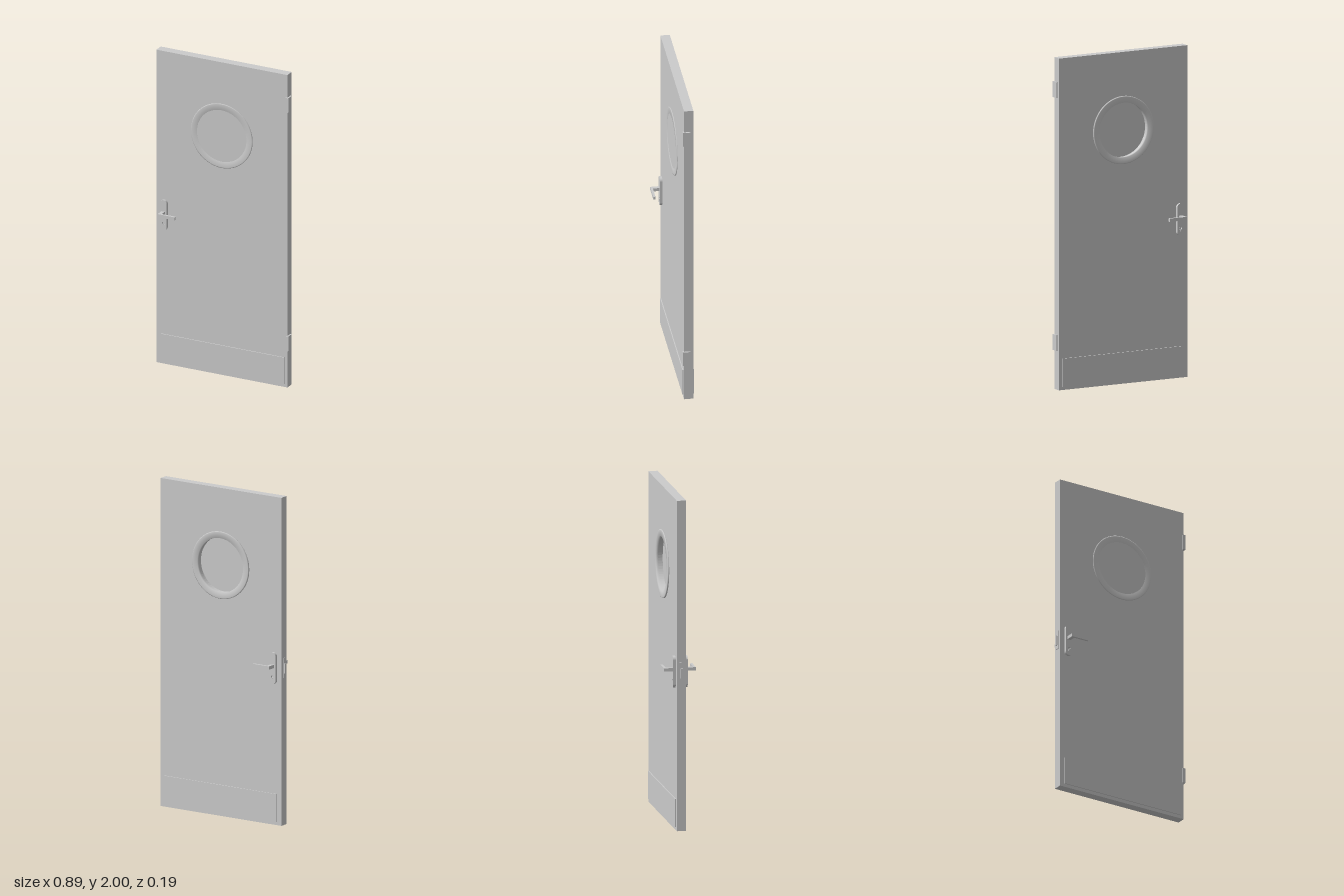
import * as THREE from 'three';

const HALF = 0.028; // half thickness of the door leaf
const WINDOW_Y = 1.53;

export function createModel() {
  const group = new THREE.Group();
  const material = new THREE.MeshStandardMaterial({ color: 0xcccccc });

  const add = (parent, name, geometry, x = 0, y = 0, z = 0) => {
    const mesh = new THREE.Mesh(geometry, material);
    mesh.name = name;
    mesh.position.set(x, y, z);
    parent.add(mesh);
    return mesh;
  };
  // box given by its minimum and maximum corners
  const box = (parent, name, [x0, y0, z0], [x1, y1, z1]) =>
    add(parent, name, new THREE.BoxGeometry(x1 - x0, y1 - y0, z1 - z0),
      (x0 + x1) / 2, (y0 + y1) / 2, (z0 + z1) / 2);
  const circle = (x, y, r) => new THREE.Path().absarc(x, y, r, 0, Math.PI * 2, true);
  const extrude = (shape, depth) =>
    new THREE.ExtrudeGeometry(shape, { depth, bevelEnabled: false, curveSegments: 32 });

  // door leaf with a round opening
  const leaf = new THREE.Shape();
  leaf.moveTo(-0.436, 0).lineTo(0.436, 0).lineTo(0.436, 2).lineTo(-0.436, 2).closePath();
  leaf.holes.push(circle(0, WINDOW_Y, 0.168));
  add(group, 'doorLeaf', extrude(leaf, HALF * 2), 0, 0, -HALF);

  // window: pane close to the front face, deep reveal at the back
  const pane = new THREE.CylinderGeometry(0.169, 0.169, 0.024, 64);
  pane.rotateX(Math.PI / 2);
  add(group, 'windowPane', pane, 0, WINDOW_Y, 0.018);

  // window rims: nearly flat in front, raised at the back
  const rim = (name, height, side) => {
    const profile = [[0.165, -0.006], [0.205, -0.006], [0.205, height * 0.7],
      [0.2, height], [0.165, height], [0.165, -0.006]];
    const g = new THREE.LatheGeometry(profile.map(([r, h]) => new THREE.Vector2(r, h)), 64);
    g.rotateX(side * Math.PI / 2);
    add(group, name, g, 0, WINDOW_Y, side * HALF);
  };
  rim('frontWindowRim', 0.004, 1);
  rim('backWindowRim', 0.008, -1);

  // escutcheon with rounded ends and a hole for the lock cylinder
  const plate = new THREE.Shape();
  plate.absarc(0, 0.073, 0.023, 0, Math.PI, false);
  plate.absarc(0, -0.073, 0.023, Math.PI, Math.PI * 2, false);
  plate.closePath();
  plate.holes.push(circle(0, -0.052, 0.009));
  const plateGeometry = extrude(plate, 0.016);

  // kick plate and handle set on each face
  for (const [face, side] of [['front', 1], ['back', -1]]) {
    const z = (a, b) => (side > 0 ? [a, b] : [-b, -a]);
    const slab = (parent, name, x0, x1, y0, y1, za, zb) => {
      const [z0, z1] = z(za, zb);
      return box(parent, name, [x0, y0, z0], [x1, y1, z1]);
    };
    slab(group, face + 'KickPlate', -0.405, 0.415, 0.02, 0.19, HALF, 0.034);

    const handle = new THREE.Group();
    handle.name = face + 'Handle';
    group.add(handle);
    add(handle, 'escutcheon', plateGeometry, -0.382, 0.956, side > 0 ? HALF : -HALF - 0.016);
    slab(handle, 'spindle', -0.394, -0.372, 0.96, 0.98, 0.04, 0.084);
    slab(handle, 'lever', -0.394, -0.279, 0.96, 0.98, 0.083, 0.096);
    const lock = new THREE.CylinderGeometry(0.006, 0.006, 0.012, 24);
    lock.rotateX(Math.PI / 2);
    add(handle, 'lockCylinder', lock, -0.382, 0.904, side * 0.034);
    slab(handle, 'lockBody', -0.385, -0.379, 0.884, 0.899, 0.04, 0.045);
  }

  // latch on the closing edge
  box(group, 'latchPlate', [-0.44, 0.9, -0.012], [-0.43, 1.02, 0.012]);
  box(group, 'latchBolt', [-0.448, 0.925, -0.006], [-0.43, 0.985, 0.006]);

  // hinges: a leaf on the edge and a lip on the front face
  for (const y of [0.235, 1.76]) {
    const hinge = new THREE.Group();
    hinge.name = y < 1 ? 'lowerHinge' : 'upperHinge';
    group.add(hinge);
    box(hinge, 'hingeLeaf', [0.432, y, -0.01], [0.445, y + 0.095, 0.026]);
    box(hinge, 'hingeLip', [0.427, y, 0.026], [0.443, y + 0.095, 0.036]);
  }
  return group;
}
